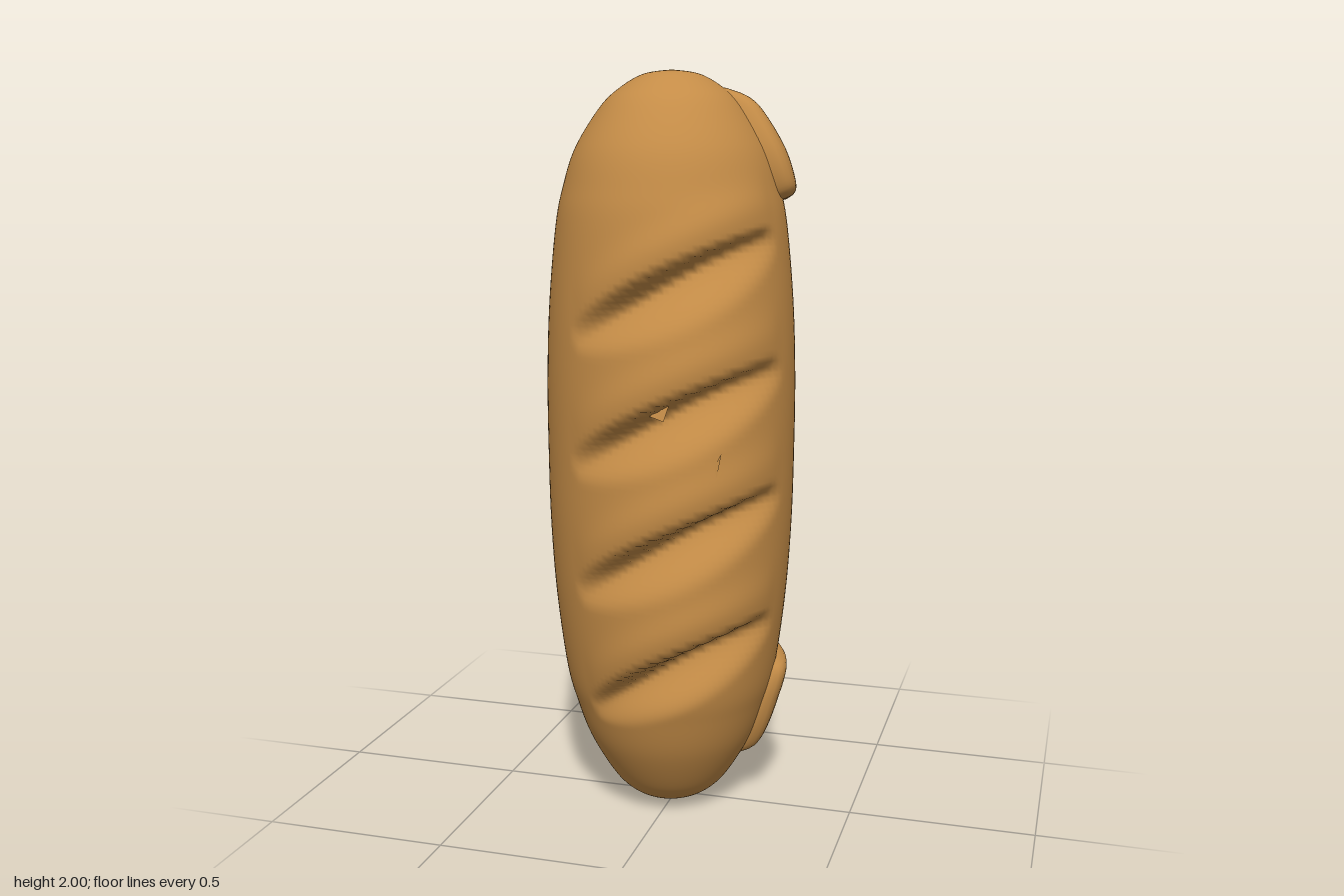
import * as THREE from 'three';
import { mergeVertices } from 'three/addons/utils/BufferGeometryUtils.js';

// loaf profile: radius, height
const PROFILE = new THREE.SplineCurve([
  [0, 0], [0.075, 0.012], [0.13, 0.045], [0.175, 0.1], [0.23, 0.2], [0.265, 0.3],
  [0.29, 0.4], [0.315, 0.6], [0.328, 0.8], [0.332, 1], [0.332, 1.2], [0.324, 1.4],
  [0.305, 1.6], [0.285, 1.7], [0.252, 1.8], [0.19, 1.9], [0.14, 1.95], [0.075, 1.988], [0, 2],
].map(([r, y]) => new THREE.Vector2(r, y))).getPoints(230);

function radiusAt(y) {
  const i = Math.max(1, PROFILE.findIndex((p) => p.y >= y));
  const a = PROFILE[i - 1], b = PROFILE[i];
  return THREE.MathUtils.mapLinear(y, a.y, b.y, a.x, b.x);
}

// angle is measured from the front (+z) towards +x
const place = (r, angle, y) => [r * Math.sin(angle) - 0.012, y, r * 1.045 * Math.cos(angle)];

// baker's cuts: angle range, height at each end, depth, width
const CUTS = [
  [1.36, 1.61], [1.03, 1.28], [0.69, 0.95], [0.36, 0.6],
].map(([y0, y1]) => ({ from: -0.55, to: 1.3, y0, y1, depth: 0.072, width: 0.19 })).concat([
  { from: -3.35, to: -1.9, y0: 1.33, y1: 1.46, depth: 0.02, width: 0.15 },
  { from: -3.35, to: -1.85, y0: 1.02, y1: 1.23, depth: 0.045, width: 0.16 },
  { from: -3.35, to: -1.85, y0: 0.68, y1: 0.9, depth: 0.045, width: 0.16 },
]);

// a cut has a steep upper wall, a sloping floor and a raised lip
function cutOffset(angle, y) {
  let offset = 0;
  for (const c of CUTS) {
    let a = angle;
    while (a > c.to) a -= 2 * Math.PI;
    while (a < c.from) a += 2 * Math.PI;
    if (a > c.to) continue;
    const t = (a - c.from) / (c.to - c.from);
    const fade = Math.pow(Math.sin(Math.PI * t), 0.75);
    const d = THREE.MathUtils.lerp(c.y0, c.y1, t) + 0.045 * fade - y;
    const wide = c.width * (0.35 + 0.65 * fade);
    if (d > 0 && d < wide) {
      const wall = THREE.MathUtils.smoothstep(d, 0, 0.04);
      const floor = 1 - THREE.MathUtils.smoothstep(d, 0.03, wide);
      offset -= c.depth * fade * wall * floor;
    }
    offset += 0.17 * c.depth * fade * Math.exp(-(((d + 0.05) / 0.06) ** 2));
  }
  return offset;
}

function loafGeometry() {
  let g = new THREE.LatheGeometry(PROFILE, 112);
  const p = g.attributes.position;
  for (let i = 0; i < p.count; i++) {
    const y = p.getY(i), r = Math.hypot(p.getX(i), p.getZ(i));
    if (r < 1e-5) { p.setXYZ(i, -0.012, y, 0); continue; }
    const angle = Math.atan2(p.getX(i), p.getZ(i));
    p.setXYZ(i, ...place(r + cutOffset(angle, y), angle, y));
  }
  g.deleteAttribute('uv');
  g.deleteAttribute('normal');
  g = mergeVertices(g, 1e-5);
  g.computeVertexNormals();
  return g;
}

// rounded crust pad that follows the loaf surface
function padGeometry(yMid, yHalf, angleMid, angleHalf, lift) {
  const g = new THREE.PlaneGeometry(2, 2, 28, 28);
  const p = g.attributes.position;
  for (let i = 0; i < p.count; i++) {
    const a = p.getX(i), b = p.getY(i);
    const u = a * Math.sqrt(1 - 0.35 * b * b), v = b * Math.sqrt(1 - 0.2 * a * a);
    const y = yMid + v * yHalf;
    const edge = (1 - a ** 10) * (1 - b ** 10);
    const r = radiusAt(y) - 0.03 + (lift + 0.03) * edge;
    p.setXYZ(i, ...place(r, angleMid + u * angleHalf, y));
  }
  g.computeVertexNormals();
  return g;
}

export function createModel() {
  const group = new THREE.Group();
  const crust = new THREE.MeshStandardMaterial({ color: 0xc48c47 });
  crust.name = 'crust';
  crust.side = THREE.DoubleSide;
  const add = (name, geometry) => {
    const mesh = new THREE.Mesh(geometry, crust);
    mesh.name = name;
    group.add(mesh);
  };

  add('loaf', loafGeometry());
  add('upperCrustPad', padGeometry(1.81, 0.155, 2.05, 0.62, 0.045));
  add('lowerCrustPad', padGeometry(0.275, 0.16, 2.05, 0.62, 0.036));

  // small loose flakes in the cuts
  const flakes = [
    [-0.01, 1.15, 0.31, 0.06, 1.13, 0.32, 0.08, 1.2, 0.3],
    [0.13, 0.91, 0.3, 0.18, 0.93, 0.29, 0.2, 1.05, 0.28],
  ];
  for (const corners of flakes) {
    const g = new THREE.BufferGeometry();
    g.setAttribute('position', new THREE.Float32BufferAttribute(corners, 3));
    g.computeVertexNormals();
    add('crustFlake', g);
  }
  return group;
}
